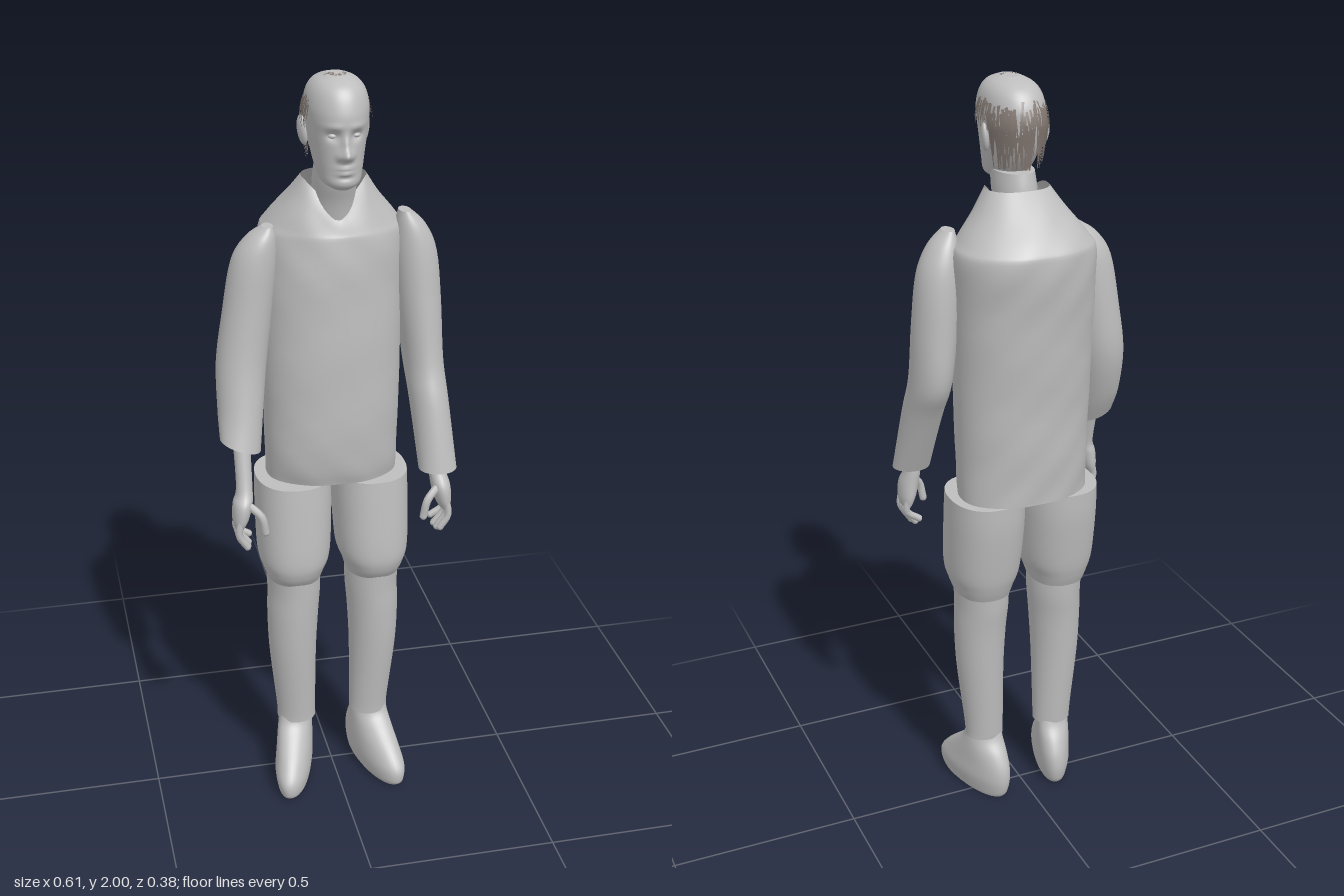
import * as THREE from 'three';

const body = new THREE.MeshStandardMaterial({ color: 0xbebebe, side: THREE.DoubleSide });
body.name = 'plain grey';
const hairMat = new THREE.MeshStandardMaterial({ color: 0x857a74, side: THREE.DoubleSide });
hairMat.name = 'dull brown hair';

const spline = (a, b, c, d, t) =>
  0.5 * (2 * b + (c - a) * t + (2 * a - 5 * b + 4 * c - d) * t * t + (3 * b - a - 3 * c + d) * t * t * t);

// Smooth skin through level slices [y, xMin, xMax, zMin, zMax], lowest first
function loft(name, rows, { seg = 40, sub = 5, power = 2, bottom = true, top = true, warp } = {}) {
  const rings = [];
  const at = i => rows[Math.min(Math.max(i, 0), rows.length - 1)];
  for (let i = 0; i < rows.length - 1; i++)
    for (let k = 0; k < sub; k++)
      rings.push(at(i).map((v, c) => spline(at(i - 1)[c], v, at(i + 1)[c], at(i + 2)[c], k / sub)));
  rings.push(at(rows.length - 1));
  const pos = [], index = [], p = new THREE.Vector3();
  const bend = (v, e) => Math.sign(v) * Math.pow(Math.abs(v), e);
  const addRing = ([y, x0, x1, z0, z1]) => {
    for (let j = 0; j < seg; j++) {
      const t = j / seg * Math.PI * 2;
      p.set((x0 + x1) / 2 + bend(Math.cos(t), 2 / power) * (x1 - x0) / 2, y,
        (z0 + z1) / 2 + bend(Math.sin(t), 2 / power) * (z1 - z0) / 2);
      if (warp) warp(p);
      pos.push(p.x, p.y, p.z);
    }
  };
  rings.forEach(addRing);
  for (let i = 0; i < rings.length - 1; i++)
    for (let j = 0; j < seg; j++) {
      const a = i * seg + j, b = i * seg + (j + 1) % seg;
      index.push(a, a + seg, b, b, a + seg, b + seg);
    }
  const cap = (r, up) => {
    const s = pos.length / 3;
    addRing(r);
    p.set((r[1] + r[2]) / 2, r[0], (r[3] + r[4]) / 2);
    if (warp) warp(p);
    pos.push(p.x, p.y, p.z);
    for (let j = 0; j < seg; j++) {
      const k = (j + 1) % seg;
      index.push(s + seg, s + (up ? k : j), s + (up ? j : k));
    }
  };
  if (bottom) cap(rings[0], false);
  if (top) cap(rings[rings.length - 1], true);
  const g = new THREE.BufferGeometry();
  g.setAttribute('position', new THREE.Float32BufferAttribute(pos, 3));
  g.setIndex(index);
  g.computeVertexNormals();
  return named(name, g, body);
}

function named(name, geometry, material) {
  const m = new THREE.Mesh(geometry, material);
  m.name = name;
  return m;
}

const flip = (rows, s) => s > 0 ? rows : rows.map(([y, a, b, c, d]) => [y, -b, -a, c, d]);
const bump = (p, x, y, sx, sy) => Math.exp(-(((p.x - x) / sx) ** 2) - ((p.y - y) / sy) ** 2);

function makeHead() {
  const head = new THREE.Group();
  head.name = 'head';
  const slices = [
    [1.735, .025, .06, .145], [1.75, .046, .03, .162], [1.78, .056, -.01, .163], [1.82, .064, -.04, .163],
    [1.86, .071, -.055, .163], [1.9, .075, -.062, .168], [1.93, .075, -.06, .163], [1.96, .067, -.045, .15],
    [1.98, .051, -.02, .13], [1.993, .025, .025, .095]
  ].map(([y, r, z0, z1]) => [y, -r, r, z0, z1]);
  // Nose, brow, eye sockets, lips and chin pushed into the front of the skull
  const face = p => {
    if (p.z < .08) return;
    const x = Math.abs(p.x), q = { x, y: p.y };
    p.z += .027 * bump(q, 0, 1.825, .013, .014) + .013 * bump(q, 0, 1.85, .009, .022)
      + .007 * bump(q, .015, 1.82, .008, .009) - .013 * bump(q, .028, 1.868, .014, .011)
      + .004 * bump(q, .028, 1.89, .022, .008) + .007 * bump(q, 0, 1.793, .02, .005)
      + .007 * bump(q, 0, 1.78, .017, .005) - .004 * bump(q, 0, 1.768, .02, .005);
  };
  head.add(loft('face and skull', slices, { seg: 96, sub: 8, power: 2.15, warp: face }));
  head.add(loft('neck', [[1.6, -.06, .06, -.06, .075], [1.68, -.054, .054, -.05, .092],
    [1.73, -.053, .053, -.045, .11], [1.77, -.05, .05, -.035, .12]]));
  for (const s of [-1, 1]) {
    const eye = named('eye', new THREE.SphereGeometry(.009, 16, 12), body);
    eye.scale.set(1.2, .7, 1);
    eye.position.set(s * .028, 1.867, .143);
    const ear = named('ear', new THREE.SphereGeometry(1, 16, 12), body);
    ear.scale.set(.01, .036, .02);
    ear.position.set(s * .077, 1.855, .03);
    ear.rotation.set(-.15, s * -.3, s * -.12);
    head.add(eye, ear);
  }
  head.add(makeHair());
  return head;
}

// Loose thin strands over the fringe, the temples and the nape
function makeHair() {
  let seed = 7;
  const rand = () => (seed = (seed * 16807) % 2147483647) / 2147483647;
  const pos = [], index = [], steps = 5;
  const onHead = (az, a, lift) => {
    const low = Math.max(0, a - Math.PI / 2);
    const r = (a < Math.PI / 2 ? Math.sin(a) : 1 - low * .2) + lift;
    return [.081 * r * Math.sin(az), 1.885 + (a < Math.PI / 2 ? .112 * Math.cos(a) : -.115 * low),
      .05 + .118 * r * Math.cos(az)];
  };
  const strand = (az, a0, a1, drift) => {
    const base = pos.length / 3, lift = rand() * .06, w = .05 + rand() * .03;
    for (let i = 0; i <= steps; i++) {
      const t = i / steps, a = a0 + (a1 - a0) * t, half = w * (1 - .6 * t) / Math.max(.4, Math.sin(a)) / 2;
      pos.push(...onHead(az + drift * t - half, a, lift), ...onHead(az + drift * t + half, a, lift));
      const k = base + i * 2;
      if (i < steps) index.push(k, k + 2, k + 1, k + 1, k + 2, k + 3);
    }
  };
  for (let i = 0; i < 170; i++) {
    const a = .15 + rand() * .5;
    strand((rand() - .5) * 2.8, a, Math.min(1.1, a + .3 + rand() * .35), (rand() - .5) * .6);
  }
  for (let i = 0; i < 190; i++) {
    const a = .85 + rand() * .9;
    strand(Math.PI + (rand() - .5) * 2.5, a, Math.min(2.45, a + .5 + rand() * .5), (rand() - .5) * .3);
  }
  for (let i = 0; i < 60; i++) {
    const a = .75 + rand() * .4;
    strand((i % 2 ? 1 : -1) * (1.25 + rand() * .7), a, a + .35 + rand() * .3, (rand() - .5) * .2);
  }
  const g = new THREE.BufferGeometry();
  g.setAttribute('position', new THREE.Float32BufferAttribute(pos, 3));
  g.setIndex(index);
  g.computeVertexNormals();
  return named('hair strands', g, hairMat);
}

function makeHand(s, wristY) {
  const hand = new THREE.Group();
  hand.name = s > 0 ? 'left hand' : 'right hand';
  hand.add(loft('palm', flip([[.865, .258, .284, .105, .172], [.89, .245, .288, .1, .178], [.93, .235, .285, .1, .175],
    [.97, .232, .274, .1, .15], [wristY, .23, .275, wristY > 1 ? .065 : .105, wristY > 1 ? .11 : .15]], s), { seg: 20 }));
  const digit = (name, pts, r) => {
    const path = new THREE.CatmullRomCurve3(pts.map(([x, y, z]) => new THREE.Vector3(s * x, y, z)));
    hand.add(named(name, new THREE.TubeGeometry(path, 8, r, 8), body));
    const tip = named(name + ' tip', new THREE.SphereGeometry(r, 8, 6), body);
    tip.position.copy(path.getPoint(1));
    hand.add(tip);
  };
  [.815, .808, .81, .825].forEach((y, i) => {
    const z = .167 - i * .018;
    digit('finger', [[.27, .89, z], [.275, .85, z + .002], [.255 - i * .004, y, z]], .0095);
  });
  digit('thumb', [[.25, .93, .155], [.218, .9, .172], [.208, .855, .172]], .0105);
  return hand;
}

export function createModel() {
  const model = new THREE.Group();
  model.name = 'standing man';
  model.add(makeHead());

  // Loose jacket with soft creases and an open notch at the throat
  const jacketWarp = p => {
    const crease = .0025 * Math.sin(p.y * 38 + p.x * 20) * Math.sin(p.x * 31 + p.y * 9);
    if (p.z > 0) p.z += crease;
    else p.z -= crease;
    if (p.z > 0 && p.y > 1.6)
      p.y -= .075 * Math.max(0, 1 - Math.abs(p.x) / .075) * Math.min(1, (p.y - 1.6) / .13);
  };
  model.add(loft('jacket', [
    [.93, -.17, .175, -.14, .095], [1, -.172, .176, -.145, .112], [1.2, -.176, .18, -.156, .12],
    [1.45, -.177, .185, -.178, .116], [1.58, -.176, .19, -.19, .107], [1.62, -.158, .17, -.178, .1],
    [1.68, -.112, .122, -.12, .085], [1.735, -.076, .086, -.06, .065]
  ], { seg: 64, power: 2.2, top: false, warp: jacketWarp }));

  // Sleeves, the left one longer and bent further forward
  model.add(loft('left sleeve', [
    [.975, .203, .302, .09, .18], [1.15, .19, .29, .005, .142], [1.25, .181, .284, -.047, .11],
    [1.4, .165, .278, -.052, .092], [1.53, .155, .265, -.046, .08], [1.6, .158, .235, -.028, .068],
    [1.64, .165, .195, -.002, .05]]));
  model.add(loft('right sleeve', [
    [1.065, -.305, -.202, .03, .135], [1.15, -.304, -.188, -.015, .112], [1.27, -.3, -.172, -.05, .09],
    [1.4, -.28, -.155, -.053, .08], [1.53, -.256, -.14, -.046, .075], [1.59, -.22, -.142, -.028, .065],
    [1.62, -.178, -.15, -.002, .045]],
    { warp: p => { if (p.y < 1.15) p.y -= (p.x + .25) * .35 * (1.15 - p.y) / .085; } }));
  model.add(makeHand(1, 1), makeHand(-1, 1.1));

  // Legs: baggy thighs over narrower trouser legs, and rounded shoes turned outward
  for (const s of [-1, 1]) {
    const side = s > 0 ? 'left ' : 'right ';
    model.add(loft(side + 'thigh', flip([
      [.64, .036, .18, -.08, .1], [.67, .027, .19, -.092, .118], [.72, .011, .202, -.105, .126],
      [.85, .004, .204, -.125, .117], [.93, .005, .202, -.13, .11]], s), { power: 2.3 }));
    model.add(loft(side + 'trouser leg', flip([
      [.175, .05, .156, -.036, .06], [.22, .05, .158, -.04, .064], [.4, .048, .176, -.055, .086],
      [.52, .042, .18, -.065, .096], [.6, .036, .178, -.075, .1], [.68, .036, .182, -.08, .105]], s)));
    model.add(loft(side + 'shoe', flip([
      [0, .064, .148, -.07, .168], [.015, .058, .152, -.079, .18], [.05, .053, .158, -.086, .178],
      [.09, .053, .156, -.082, .145], [.13, .055, .154, -.064, .098], [.165, .057, .151, -.04, .06],
      [.2, .06, .147, -.028, .048]], s), { power: 2.15, warp: p => { p.x += s * .26 * p.z; } }));
  }
  return model;
}
